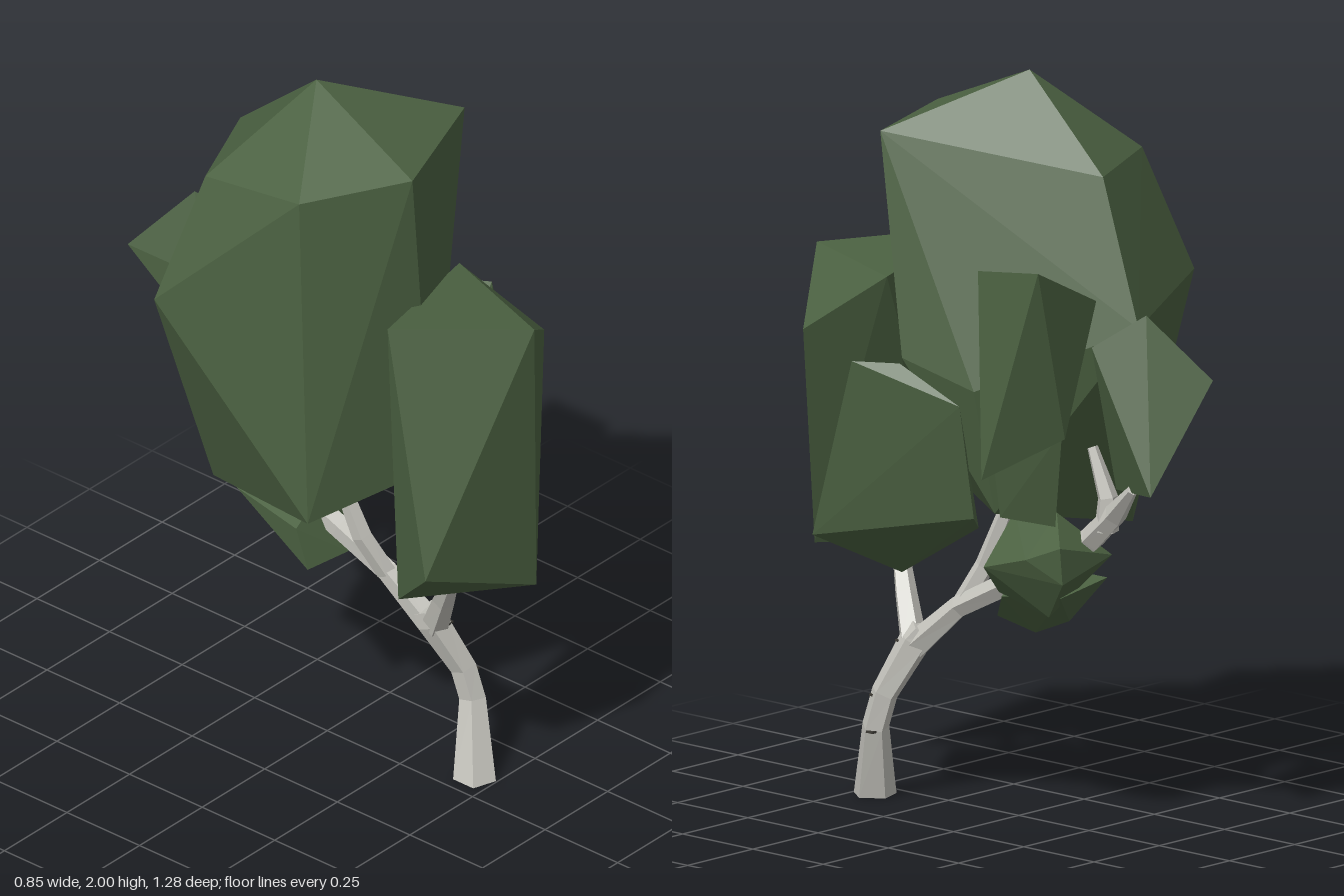
import * as THREE from 'three';
import { ConvexGeometry } from 'three/addons/geometries/ConvexGeometry.js';

const named = (material, name) => { material.name = name; return material; };

// Faceted leaf clump wrapped around a few corner points
function clump(name, corners, material) {
  const mesh = new THREE.Mesh(new ConvexGeometry(corners.map(p => new THREE.Vector3(...p))), material);
  mesh.name = name;
  return mesh;
}

// Tapered limb: rings of five corners along stations [x, y, z, radius]
function limb(name, stations, material, sides = 5) {
  const centres = stations.map(s => new THREE.Vector3(s[0], s[1], s[2]));
  const positions = [], index = [];
  centres.forEach((c, i) => {
    const t = centres[Math.min(i + 1, centres.length - 1)].clone().sub(centres[Math.max(i - 1, 0)]).normalize();
    if (c.y === 0) t.set(0, 1, 0);
    const a = new THREE.Vector3(1, 0, 0).addScaledVector(t, -t.x).normalize();
    const b = t.clone().cross(a);
    for (let k = 0; k < sides; k++) {
      const angle = k / sides * Math.PI * 2, r = stations[i][3];
      const p = c.clone().addScaledVector(a, Math.cos(angle) * r).addScaledVector(b, Math.sin(angle) * r);
      positions.push(p.x, p.y, p.z);
    }
  });
  for (let i = 0; i < centres.length - 1; i++) {
    for (let k = 0; k < sides; k++) {
      const n = (k + 1) % sides, p = i * sides, q = p + sides;
      index.push(p + k, p + n, q + n, p + k, q + n, q + k);
    }
  }
  const end = (centres.length - 1) * sides;
  for (let k = 1; k < sides - 1; k++) index.push(0, k + 1, k, end, end + k, end + k + 1);
  const indexed = new THREE.BufferGeometry();
  indexed.setAttribute('position', new THREE.Float32BufferAttribute(positions, 3));
  indexed.setIndex(index);
  const geometry = indexed.toNonIndexed();
  geometry.computeVertexNormals();
  const mesh = new THREE.Mesh(geometry, material);
  mesh.name = name;
  return mesh;
}

export function createModel() {
  const tree = new THREE.Group();
  tree.name = 'tree';
  const leaf = named(new THREE.MeshStandardMaterial({ color: 0x4b6141, flatShading: true }), 'leaf green');
  const bark = named(new THREE.MeshStandardMaterial({ color: 0xc4c3bc, flatShading: true }), 'pale bark');
  const scar = named(new THREE.MeshStandardMaterial({ color: 0x3c3a34, flatShading: true }), 'dark bark scar');

  // Foliage
  tree.add(
    clump('mainCrown', [
      [-0.02, 2, -0.02], [-0.31, 1.83, 0.17], [-0.06, 1.855, 0.345], [0.305, 1.855, 0.21],
      [-0.29, 1.77, -0.17], [0, 1.76, -0.3], [-0.425, 1.43, -0.23], [0.02, 1.38, -0.445],
      [-0.345, 0.89, 0.23], [0, 0.95, 0.36], [0.34, 1.27, 0.1], [0.28, 1.2, -0.1],
      [0.2, 0.86, -0.1], [-0.2, 0.79, -0.22],
    ], leaf),
    clump('frontFoliage', [
      [0.085, 1.45, 0.64], [-0.2, 1.48, 0.38], [0.22, 1.44, 0.265], [0.31, 1.28, 0.48],
      [-0.275, 0.82, 0.575], [0.11, 0.65, 0.625], [-0.18, 0.65, 0.4],
    ], leaf),
    clump('leftFoliage', [
      [0.425, 1.26, 0.2], [0.36, 1.26, 0.09], [0.42, 0.77, 0.345], [0.2, 0.78, 0.5],
      [0.2, 0.65, 0.23], [0.335, 1.17, -0.1], [0.28, 0.86, -0.1], [0.2, 1.13, 0.28], [0.1, 0.78, 0.05],
    ], leaf),
    clump('backLeftFoliage', [
      [0.33, 1.57, -0.375], [0.35, 1.55, -0.18], [0.38, 1.0, -0.22], [0.2, 1.1, -0.35],
      [0.08, 1.45, -0.35], [0.22, 1.43, -0.12], [0.22, 1.17, -0.12],
    ], leaf),
    clump('innerFoliage', [
      [0.25, 1.15, -0.12], [0.2, 1.12, -0.34], [0.19, 0.85, -0.11], [0.14, 0.84, -0.26],
      [0.16, 0.97, -0.29], [0.06, 1.2, -0.2],
    ], leaf),
    clump('backFoliage', [
      [0.05, 1.43, -0.5], [-0.055, 1.26, -0.64], [0.13, 0.97, -0.59], [0.135, 1.34, -0.385],
      [0.03, 0.94, -0.375], [0.02, 1.2, -0.43],
    ], leaf),
    clump('upperSmallFoliage', [
      [0.08, 0.84, -0.06], [0.08, 0.86, -0.21], [0.16, 0.79, -0.295], [0.15, 0.69, -0.295],
      [0.19, 0.75, -0.2], [0.2, 0.71, -0.06], [0.1, 0.58, -0.2], [0.13, 0.63, -0.05],
      [-0.04, 0.74, -0.295], [-0.04, 0.72, -0.06],
    ], leaf),
    clump('lowerSmallFoliage', [
      [-0.09, 0.54, 0.01], [0.05, 0.54, 0.03], [0, 0.5, -0.06], [0, 0.55, -0.18],
      [0.13, 0.62, -0.06], [-0.09, 0.65, -0.03], [-0.06, 0.67, -0.26], [0.04, 0.7, -0.05],
      [0.11, 0.64, -0.25],
    ], leaf),
  );

  // Trunk and branches
  tree.add(
    limb('trunk', [[0.08, 0, 0.44, 0.059], [0.13, 0.2, 0.39, 0.037], [0.122, 0.29, 0.365, 0.037],
      [0.07, 0.43, 0.305, 0.045], [0.06, 0.465, 0.285, 0.034]], bark),
    limb('frontBranch', [[0.07, 0.42, 0.31, 0.038], [0.03, 0.54, 0.375, 0.031],
      [-0.01, 0.63, 0.43, 0.024], [-0.02, 0.74, 0.465, 0.015]], bark),
    limb('longBranch', [[0.07, 0.42, 0.3, 0.038], [0.045, 0.54, 0.17, 0.03], [0.03, 0.62, 0.02, 0.032],
      [0.02, 0.71, -0.17, 0.031], [0.02, 0.79, -0.28, 0.035], [0.03, 0.87, -0.37, 0.032],
      [0.07, 0.96, -0.47, 0.014]], bark),
    limb('middleBranch', [[0.04, 0.54, 0.17, 0.028], [0, 0.65, 0.12, 0.028],
      [-0.02, 0.8, 0.065, 0.022]], bark),
    limb('backTwig', [[0.02, 0.82, -0.33, 0.034], [0.02, 0.91, -0.335, 0.028], [0.03, 1.04, -0.29, 0.015]], bark),
  );

  // Small dark scars on the bark
  const scars = [[0.155, 0.19, 0.38], [0.137, 0.285, 0.385], [0.088, 0.43, 0.338]];
  for (const at of scars) {
    const mark = new THREE.Mesh(new THREE.BoxGeometry(0.02, 0.006, 0.024), scar);
    mark.position.set(...at);
    mark.name = 'barkScar';
    tree.add(mark);
  }
  return tree;
}
